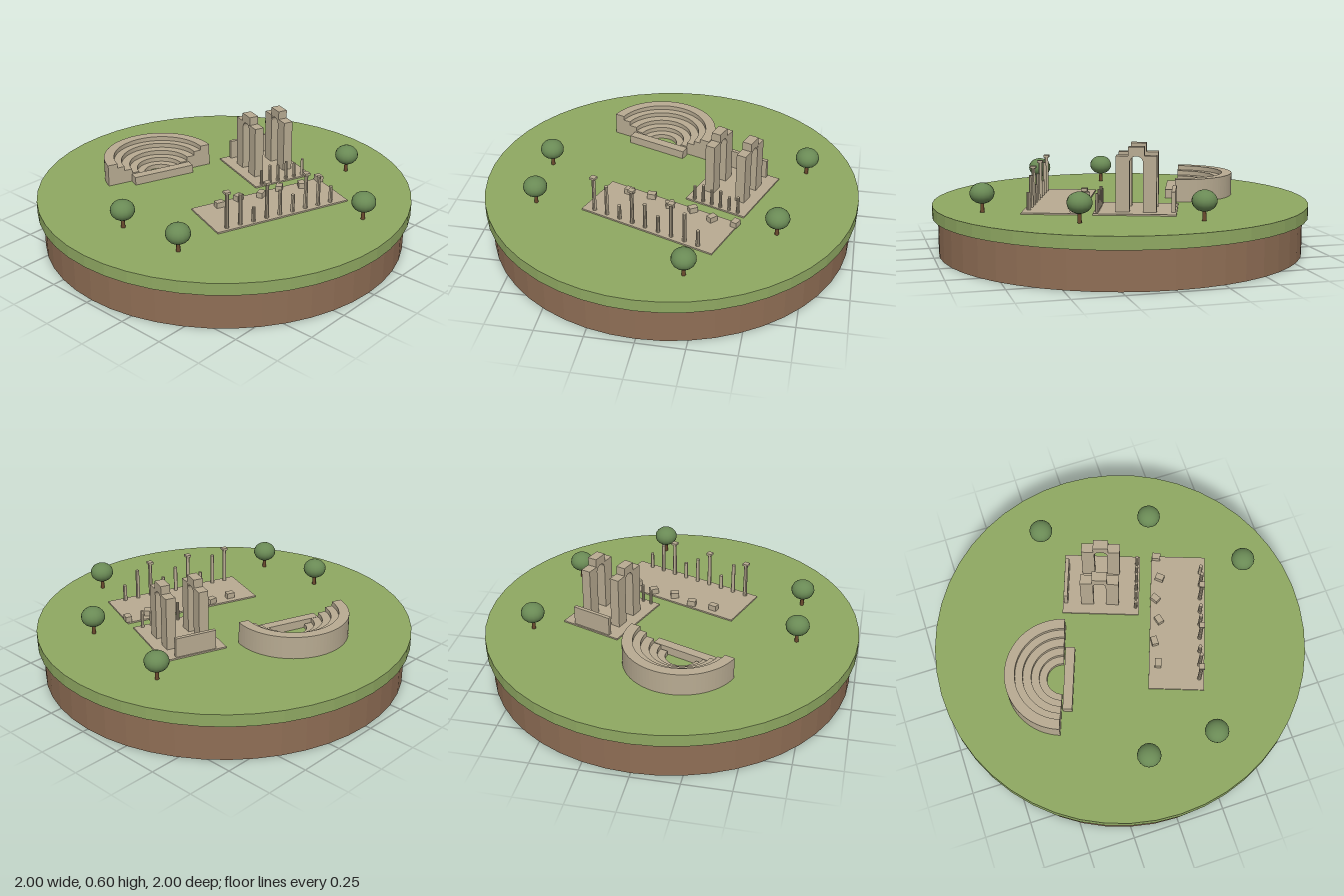
import * as THREE from 'three';

const mat = (name, color, flat = true) => {
  const m = new THREE.MeshStandardMaterial({ color, flatShading: flat });
  m.name = name;
  return m;
};

export function createModel() {
  const grass = mat('grass', 0x8fa862);
  const soil = mat('soil', 0x8f6e55);
  const stone = mat('stone', 0xb8ab92);
  const leaf = mat('leaves', 0x6a8a55, false);
  const bark = mat('bark', 0x6b4a2e, false);

  const GROUND = 0.265;
  const model = new THREE.Group();
  model.name = 'ruinsIsland';

  const add = (parent, name, geo, material, x = 0, y = 0, z = 0, ry = 0) => {
    const m = new THREE.Mesh(geo, material);
    m.name = name;
    m.position.set(x, y, z);
    m.rotation.y = ry;
    parent.add(m);
    return m;
  };
  // box and column standing on height y
  const box = (p, name, w, h, d, x, y, z, ry) =>
    add(p, name, new THREE.BoxGeometry(w, h, d), stone, x, y + h / 2, z, ry);
  const column = (p, name, r, h, x, y, z) =>
    add(p, name, new THREE.CylinderGeometry(r * 0.9, r, h, 10), stone, x, y + h / 2, z);
  // every ruin shares the same turn on the island
  const site = (name, x, z) => {
    const g = new THREE.Group();
    g.name = name;
    g.position.set(x, GROUND, z);
    g.rotation.y = -Math.PI / 9;
    model.add(g);
    return g;
  };

  // Round base
  add(model, 'soilBase', new THREE.CylinderGeometry(0.97, 0.97, 0.2, 48), soil, 0, 0.1, 0);
  add(model, 'grassTop', new THREE.CylinderGeometry(1, 1, 0.065, 48), grass, 0, 0.2325, 0);

  // Theatre: half rings rising outward, with a stage in front
  const theatre = site('theatre', -0.126, -0.361);
  const radii = [0.085, 0.125, 0.166, 0.21, 0.25, 0.304];
  for (let i = 0; i < 5; i++) {
    const s = new THREE.Shape();
    s.absarc(0, 0, radii[i + 1], 0, Math.PI, false);
    s.absarc(0, 0, radii[i], Math.PI, 0, true);
    s.closePath();
    const geo = new THREE.ExtrudeGeometry(s, {
      depth: 0.024 * (i + 1), bevelEnabled: false, curveSegments: 24,
    });
    geo.rotateX(-Math.PI / 2);
    add(theatre, 'seatTier', geo, stone);
  }
  box(theatre, 'stage', 0.344, 0.045, 0.05, 0, 0, 0.032);

  // Forum: paved floor, row of columns, scattered blocks
  const forum = site('forum', -0.004, 0.326);
  const FLOOR = 0.008;
  box(forum, 'forumFloor', 0.768, FLOOR, 0.296, 0, 0, 0);
  const heights = [0.19, 0.17, 0.08, 0.19, 0.14, 0.095, 0.19, 0.165, 0.09];
  heights.forEach((h, i) => {
    const x = -0.32 + i * 0.0766;
    column(forum, 'forumColumn', 0.011, h, x, FLOOR, 0.122);
    if (i % 3 === 0) box(forum, 'capital', 0.03, 0.012, 0.03, x, FLOOR + h, 0.122);
  });
  for (let i = 0; i < 6; i++) {
    box(forum, 'fallenBlock', 0.045, 0.03, 0.034,
      -0.245 + i * 0.124, FLOOR, i % 2 ? -0.122 : -0.1, i * 0.3);
  }

  // Temple: floor, twin arches, back wall, broken front columns
  const temple = site('temple', 0.333, 0.004);
  box(temple, 'templeFloor', 0.344, FLOOR, 0.415, 0, 0, 0);
  box(temple, 'backWall', 0.222, 0.103, 0.02, -0.005, FLOOR, -0.19);
  [0.08, 0.1, 0.09, 0.1, 0.08, 0.095].forEach((h, i) =>
    column(temple, 'frontColumn', 0.009, h, -0.128 + i * 0.051, FLOOR, 0.19));

  // Arch crown: block with a half-round opening beneath
  const crown = new THREE.Shape();
  crown.moveTo(-0.04, 0);
  crown.lineTo(-0.034, 0);
  crown.absarc(0, 0, 0.034, Math.PI, 0, true);
  crown.lineTo(0.04, 0);
  crown.lineTo(0.04, 0.08);
  crown.lineTo(-0.04, 0.08);
  crown.closePath();
  const crownGeo = new THREE.ExtrudeGeometry(crown, {
    depth: 0.051, bevelEnabled: false, curveSegments: 10,
  });
  crownGeo.translate(0, 0, -0.0255);
  for (const x of [-0.092, 0.089]) {
    const arch = new THREE.Group();
    arch.name = 'arch';
    arch.position.set(x, FLOOR, -0.005);
    temple.add(arch);
    for (const s of [-1, 1]) box(arch, 'archPillar', 0.052, 0.282, 0.068, 0, 0, s * 0.068);
    add(arch, 'archCrown', crownGeo, stone, 0, 0.247, 0, Math.PI / 2);
  }

  // Trees
  const crownBall = new THREE.SphereGeometry(0.063, 16, 12);
  crownBall.scale(1, 0.84, 1);
  const trunk = new THREE.CylinderGeometry(0.008, 0.011, 0.07, 8);
  for (const [x, z] of [[-0.68, -0.067], [-0.668, 0.307], [0.198, 0.772], [0.604, 0.366], [0.706, -0.227]]) {
    const tree = new THREE.Group();
    tree.name = 'tree';
    tree.position.set(x, GROUND, z);
    model.add(tree);
    add(tree, 'treeTrunk', trunk, bark, 0, 0.035, 0);
    add(tree, 'treeCrown', crownBall, leaf, 0, 0.098, 0);
  }

  return model;
}
